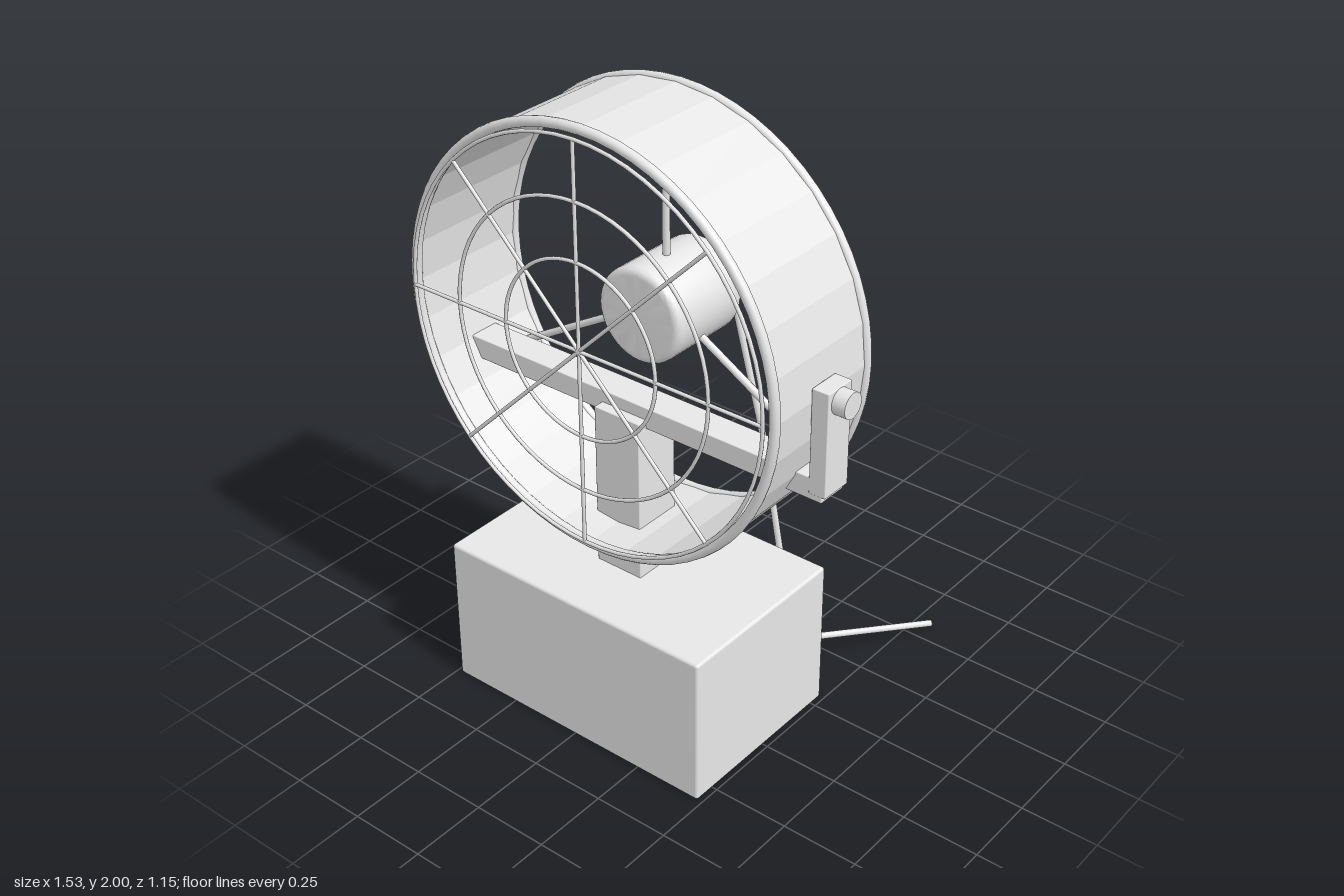
import * as THREE from 'three';
import { toCreasedNormals } from 'three/addons/utils/BufferGeometryUtils.js';
import { RoundedBoxGeometry } from 'three/addons/geometries/RoundedBoxGeometry.js';

const lightGrey = new THREE.MeshStandardMaterial({ color: 0xe7e7e7 });
lightGrey.name = 'lightGrey';

const HUB_Y = 1.323;
const V2 = (x, y) => new THREE.Vector2(x, y);
const V3 = (x, y, z) => new THREE.Vector3(x, y, z);

export function createModel() {
  const model = new THREE.Group();
  model.name = 'fan';

  function add(parent, name, geometry, x = 0, y = 0, z = 0) {
    const mesh = new THREE.Mesh(geometry, lightGrey);
    mesh.name = name;
    mesh.position.set(x, y, z);
    parent.add(mesh);
    return mesh;
  }

  // Box given by its minimum and maximum corners, with slightly eased edges
  function block(parent, name, [x0, y0, z0], [x1, y1, z1], radius) {
    return add(parent, name, new RoundedBoxGeometry(x1 - x0, y1 - y0, z1 - z0, 2, radius),
      (x0 + x1) / 2, (y0 + y1) / 2, (z0 + z1) / 2);
  }

  // Round rod running outward from the hub axis at a given angle
  function spoke(parent, name, angle, from, to, radius, z) {
    const geometry = new THREE.CylinderGeometry(radius, radius, to - from, 10);
    geometry.translate(0, (from + to) / 2, 0);
    add(parent, name, geometry, 0, 0, z).rotation.z = angle - Math.PI / 2;
  }

  // Stand
  block(model, 'base', [-0.485, 0, -0.049], [0.485, 0.5, 0.575], 0.01);
  block(model, 'post', [-0.084, 0.49, 0.183], [0.084, 1.042, 0.348], 0.003);
  block(model, 'crossbar', [-0.708, 1.012, 0.21], [0.708, 1.082, 0.313], 0.003);
  for (const side of [-1, 1]) {
    const arm = new THREE.Group();
    arm.name = side > 0 ? 'leftArm' : 'rightArm';
    model.add(arm);
    block(arm, 'upright', [side * 0.693 - 0.028, 1.032, 0.208], [side * 0.693 + 0.028, 1.365, 0.315], 0.003);
    const knob = new THREE.CylinderGeometry(0.04, 0.04, 0.11, 24);
    knob.rotateZ(Math.PI / 2);
    add(arm, 'pivotKnob', knob, side * 0.709, HUB_Y, 0.262);
  }

  const head = new THREE.Group();
  head.name = 'fanHead';
  head.position.y = HUB_Y;
  model.add(head);

  // Faceted drum wall
  const wall = new THREE.LatheGeometry(
    [V2(0.667, 0.05), V2(0.667, 0.48), V2(0.654, 0.48), V2(0.654, 0.05), V2(0.667, 0.05)], 32);
  wall.rotateX(Math.PI / 2);
  add(head, 'drum', toCreasedNormals(wall, 0.1));

  // Rolled rims at both ends
  add(head, 'backRim', new THREE.TorusGeometry(0.661, 0.016, 12, 64), 0, 0, 0.054);
  add(head, 'frontRim', new THREE.TorusGeometry(0.661, 0.016, 12, 64), 0, 0, 0.472);

  // Front grille
  const grille = new THREE.Group();
  grille.name = 'grille';
  head.add(grille);
  for (const radius of [0.277, 0.46, 0.642]) {
    add(grille, 'grilleRing', new THREE.TorusGeometry(radius, 0.006, 8, 64), 0, 0, 0.499);
  }
  for (let i = 0; i < 8; i++) {
    spoke(grille, 'grilleSpoke', i * Math.PI / 4, 0, 0.642, 0.006, 0.499);
  }

  // Motor housing with flat caps and rounded edges
  const back = -0.055, front = 0.245, bevel = 0.022, r = 0.152;
  const profile = [V2(0, back), V2(r - bevel - 0.004, back)];
  for (const [cy, start] of [[back + bevel, -Math.PI / 2], [front - bevel, 0]]) {
    for (let i = 0; i <= 4; i++) {
      const a = start + i * Math.PI / 8;
      profile.push(V2(r - bevel + bevel * Math.cos(a), cy + bevel * Math.sin(a)));
    }
  }
  profile.push(V2(r - bevel - 0.004, front), V2(0, front));
  const motor = new THREE.LatheGeometry(profile, 40);
  motor.rotateX(Math.PI / 2);
  add(head, 'motor', toCreasedNormals(motor, 0.6));

  // Struts holding the motor in the drum
  for (const degrees of [90, 210, 330]) {
    spoke(head, 'motorStrut', degrees * Math.PI / 180, 0.1, 0.66, 0.012, 0.113);
  }

  // Power cable: straight runs joined by soft bends
  const path = new THREE.CurvePath();
  const corners = [V3(0.108, 1.32, -0.06), V3(0.21, 0.85, -0.087), V3(0.345, 0.135, -0.087), V3(0.557, 0.012, -0.572)];
  const bends = [0.06, 0.08];
  let last = corners[0];
  for (let i = 1; i < 3; i++) {
    const c = corners[i];
    const toward = (p) => c.clone().add(p.clone().sub(c).setLength(bends[i - 1]));
    const enter = toward(corners[i - 1]), leave = toward(corners[i + 1]);
    path.add(new THREE.LineCurve3(last, enter));
    path.add(new THREE.QuadraticBezierCurve3(enter, c, leave));
    last = leave;
  }
  path.add(new THREE.LineCurve3(last, corners[3]));
  add(model, 'cable', new THREE.TubeGeometry(path, 90, 0.011, 10));
  // Closed ends of the cable
  for (const [end, next] of [[corners[0], corners[1]], [corners[3], corners[2]]]) {
    const cap = add(model, 'cableEnd', new THREE.CircleGeometry(0.011, 10), end.x, end.y, end.z);
    cap.lookAt(end.clone().multiplyScalar(2).sub(next));
  }

  return model;
}
